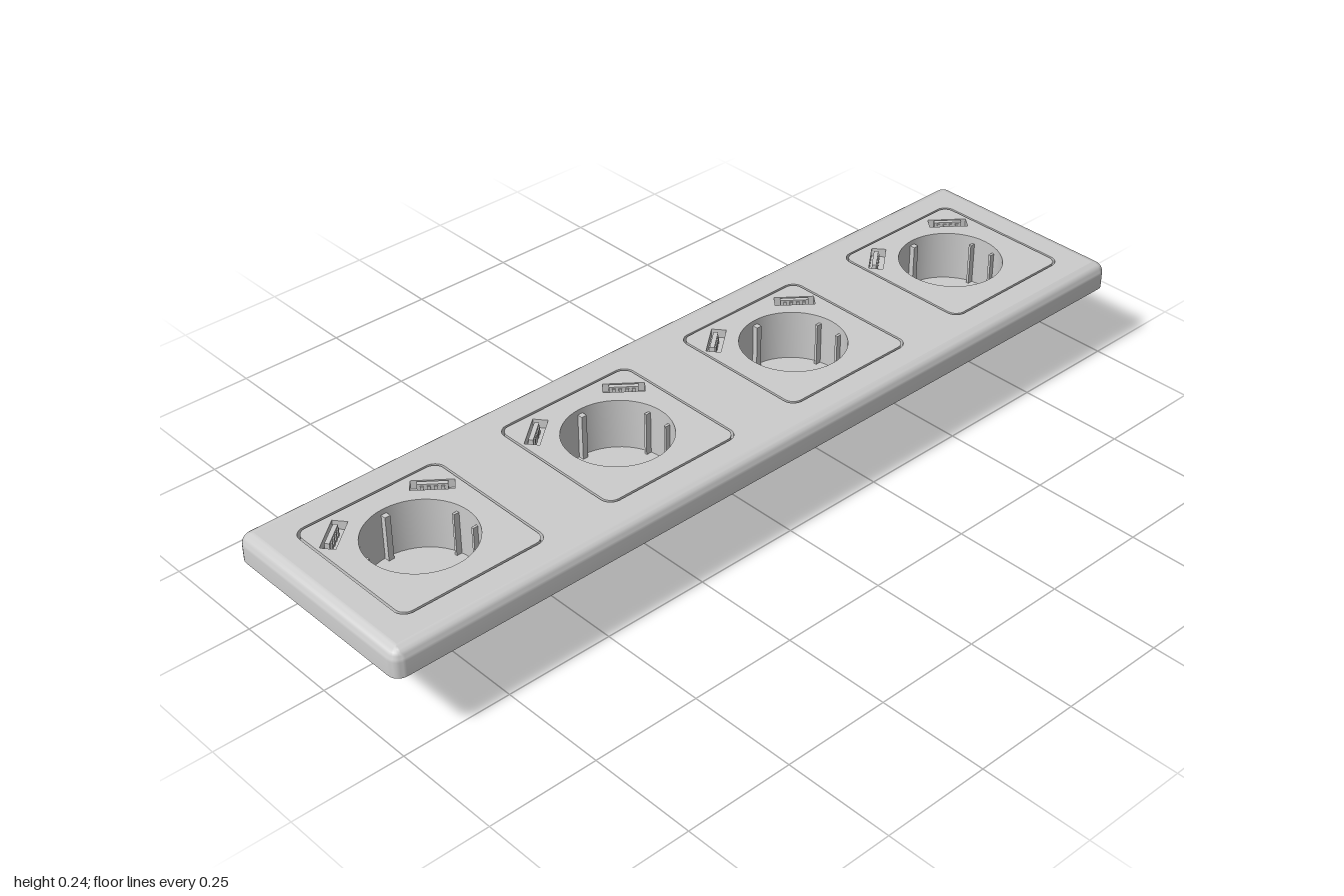
import * as THREE from 'three';
import { toCreasedNormals } from 'three/addons/utils/BufferGeometryUtils.js';

const TOP = 0.239, BASE = 0.178, EDGE = 0.025;
const material = new THREE.MeshStandardMaterial({ color: 0xcccccc, side: THREE.DoubleSide });

function add(parent, name, geometry, x = 0, y = 0, z = 0) {
  const mesh = new THREE.Mesh(geometry, material);
  mesh.name = name;
  mesh.position.set(x, y, z);
  parent.add(mesh);
  return mesh;
}

// Rounded rectangle outline centred on (cx, 0)
function roundedRect(PathType, cx, half, r) {
  const p = new PathType();
  p.absarc(cx + half - r, half - r, r, 0, Math.PI / 2);
  p.absarc(cx - half + r, half - r, r, Math.PI / 2, Math.PI);
  p.absarc(cx - half + r, -half + r, r, Math.PI, Math.PI * 1.5);
  p.absarc(cx + half - r, -half + r, r, Math.PI * 1.5, Math.PI * 2);
  p.closePath();
  return p;
}

function circleHole(r) {
  return new THREE.Path().absarc(0, 0, r, 0, Math.PI * 2, true);
}

// Rectangle turned by an angle, in plan (x, -z)
function turnedRect(cx, cy, w, h, angle) {
  const c = Math.cos(angle), s = Math.sin(angle);
  return new THREE.Path([[-1, -1], [1, -1], [1, 1], [-1, 1]].map(([u, v]) =>
    new THREE.Vector2(cx + (u * w * c - v * h * s) / 2, cy + (u * w * s + v * h * c) / 2)));
}

// Plan shape raised between two heights
function slab(shape, y0, y1) {
  const g = new THREE.ExtrudeGeometry(shape, { depth: y1 - y0, bevelEnabled: false, curveSegments: 24 });
  g.rotateX(-Math.PI / 2).translate(0, y0, 0);
  return toCreasedNormals(g, 0.6);
}

// Outer rim: a quarter-round profile carried around the plate
function rimGeometry() {
  const profile = [];
  for (let i = 0; i <= 6; i++) {
    const a = (i / 6) * Math.PI / 2;
    profile.push([EDGE * Math.sin(a), TOP - EDGE + EDGE * Math.cos(a)]);
  }
  profile.push([EDGE, BASE], [0, BASE]);
  const corners = [[1, 1], [-1, 1], [-1, -1], [1, -1]];
  const positions = [], index = [], ring = 4 * 7;
  for (const [r, y] of profile) {
    corners.forEach(([sx, sz], q) => {
      for (let i = 0; i <= 6; i++) {
        const a = (q + i / 6) * Math.PI / 2;
        positions.push(sx * (1 - EDGE) + r * Math.cos(a), y, sz * (0.25 - EDGE) + r * Math.sin(a));
      }
    });
  }
  for (let j = 0; j < profile.length - 1; j++) {
    for (let i = 0; i < ring; i++) {
      const a = j * ring + i, b = j * ring + (i + 1) % ring;
      index.push(a, b, a + ring, b, b + ring, a + ring);
    }
  }
  const g = new THREE.BufferGeometry();
  g.setAttribute('position', new THREE.Float32BufferAttribute(positions, 3));
  g.setIndex(index);
  return toCreasedNormals(g, 0.7);
}

function createSocket() {
  const socket = new THREE.Group();
  socket.name = 'socket';
  const ports = [-1, 1].map(s => ({ x: s * 0.118, z: -0.115, angle: -s * 0.68 }));

  // Insert: lower layer fills the opening, upper layer leaves a thin groove around it
  const lower = roundedRect(THREE.Shape, 0, 0.174, 0.027);
  lower.holes.push(circleHole(0.12));
  add(socket, 'insertBase', slab(lower, BASE, 0.219));
  const upper = roundedRect(THREE.Shape, 0, 0.169, 0.023);
  upper.holes.push(circleHole(0.12));
  for (const p of ports) upper.holes.push(turnedRect(p.x, -p.z, 0.088, 0.032, p.angle));
  add(socket, 'insertFace', slab(upper, 0.219, TOP));

  // Round recess and its housing underneath
  const profile = [[0, 0.122], [0.117, 0.122], [0.117, TOP], [0.12, TOP], [0.12, BASE],
    [0.126, BASE], [0.126, 0.114], [0, 0.114]].map(p => new THREE.Vector2(...p));
  const cup = new THREE.LatheGeometry(profile.reverse(), 48);
  add(socket, 'recessCup', toCreasedNormals(cup.toNonIndexed(), 0.6));

  // Earth clips front and back, guide ribs on both sides
  for (const s of [-1, 1]) {
    add(socket, 'earthClip', new THREE.BoxGeometry(0.013, 0.105, 0.014), 0, 0.1745, s * 0.111);
    for (const t of [-1, 1]) {
      add(socket, 'guideRib', new THREE.BoxGeometry(0.014, 0.1, 0.006), s * 0.108, 0.172, t * 0.03);
    }
  }

  // Charging ports with a tongue and four contacts
  for (const p of ports) {
    const port = new THREE.Group();
    port.name = 'chargingPort';
    port.position.set(p.x, 0, p.z);
    port.rotation.y = p.angle;
    add(port, 'tongue', new THREE.BoxGeometry(0.062, 0.022, 0.01), 0, 0.2295, -0.005);
    for (let i = 0; i < 4; i++) {
      add(port, 'contact', new THREE.BoxGeometry(0.007, 0.018, 0.003), -0.021 + i * 0.014, 0.228, 0.0015);
    }
    socket.add(port);
  }

  // Terminal pins and centre screw below
  for (const s of [-1, 1]) {
    add(socket, 'pin', new THREE.CylinderGeometry(0.017, 0.017, 0.116, 24), s * 0.053, 0.058, 0);
  }
  add(socket, 'screw', new THREE.CylinderGeometry(0.016, 0.016, 0.012, 24), 0, 0.11, 0);
  return socket;
}

export function createModel() {
  const model = new THREE.Group();
  model.name = 'socketStrip';
  const centres = [-0.75, -0.25, 0.25, 0.75];

  // Plate with four square openings
  const w = 1 - EDGE, d = 0.25 - EDGE;
  const plate = new THREE.Shape([[-w, -d], [w, -d], [w, d], [-w, d]].map(p => new THREE.Vector2(...p)));
  for (const x of centres) plate.holes.push(roundedRect(THREE.Path, x, 0.174, 0.027));
  add(model, 'plate', slab(plate, BASE, TOP));
  add(model, 'plateRim', rimGeometry());

  for (const x of centres) {
    const socket = createSocket();
    socket.position.x = x;
    model.add(socket);
  }
  return model;
}
